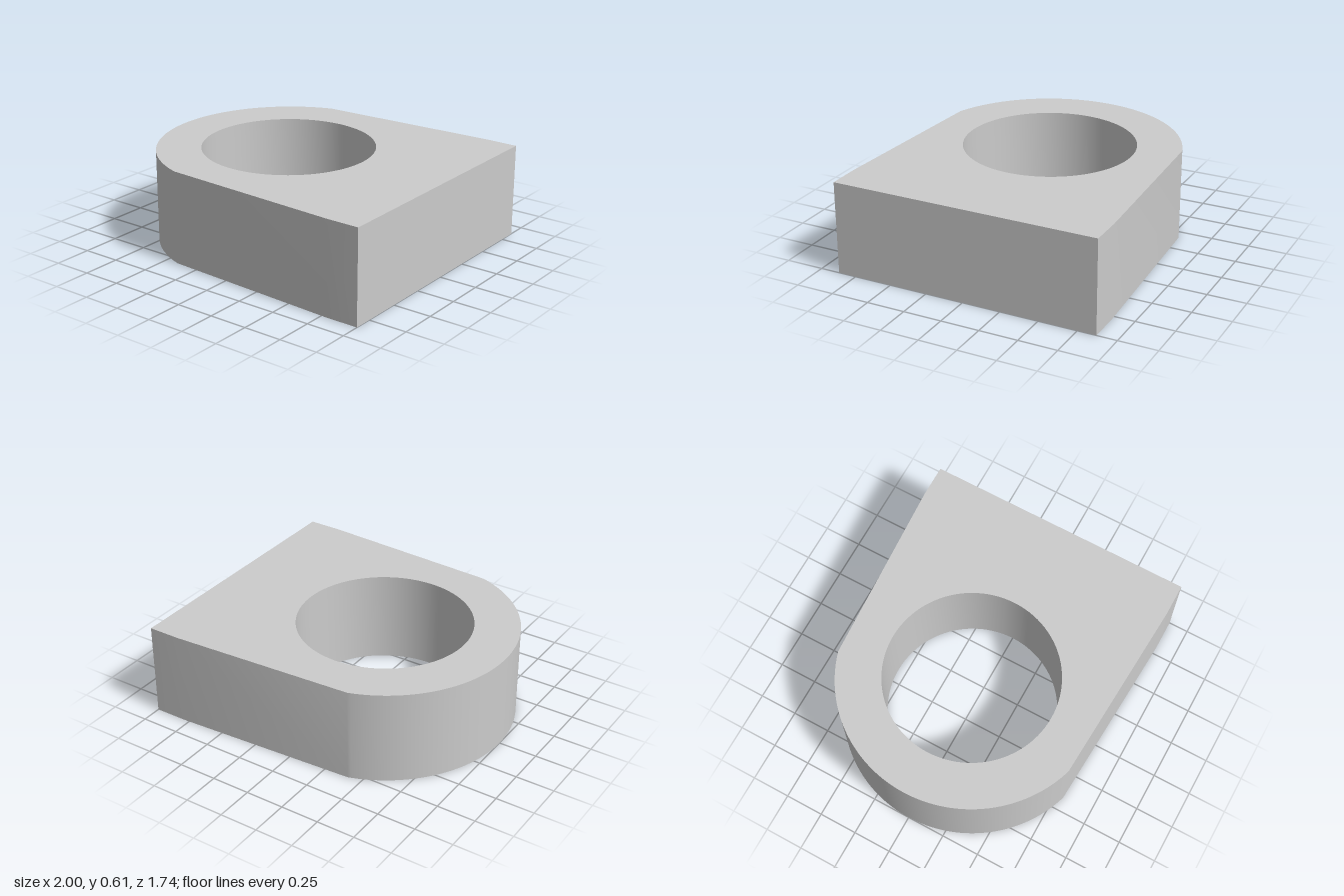
import * as THREE from 'three';
import { toCreasedNormals } from 'three/addons/utils/BufferGeometryUtils.js';

const HEIGHT = 0.605;
const RING_X = -0.157; // shared centre of the rounded end and the bore
const OUTER_R = 0.843;
const BORE_R = 0.556;

export function createModel() {
  const group = new THREE.Group();
  group.name = 'ringBlock';

  // Outline: square end, slightly tapering sides, rounded end
  const start = Math.PI - Math.acos(0.253 / OUTER_R);
  const outline = new THREE.Shape();
  outline.moveTo(1, -0.87);
  outline.lineTo(1, 0.87);
  outline.lineTo(0.79, 0.87);
  outline.absarc(RING_X, 0, OUTER_R, start, 2 * Math.PI - start, false);
  outline.lineTo(0.79, -0.87);
  outline.closePath();

  // Round through-bore
  const bore = new THREE.Path();
  bore.absarc(RING_X, 0, BORE_R, 0, 2 * Math.PI, true);
  outline.holes.push(bore);

  // Extrude upwards, smooth on the curves and sharp at the edges
  const solid = new THREE.ExtrudeGeometry(outline, {
    depth: HEIGHT, bevelEnabled: false, curveSegments: 48,
  });
  solid.rotateX(-Math.PI / 2);

  const block = new THREE.Mesh(
    toCreasedNormals(solid, Math.PI / 6),
    new THREE.MeshStandardMaterial({ color: 0xcccccc }),
  );
  block.name = 'boredBlock';
  group.add(block);
  return group;
}
